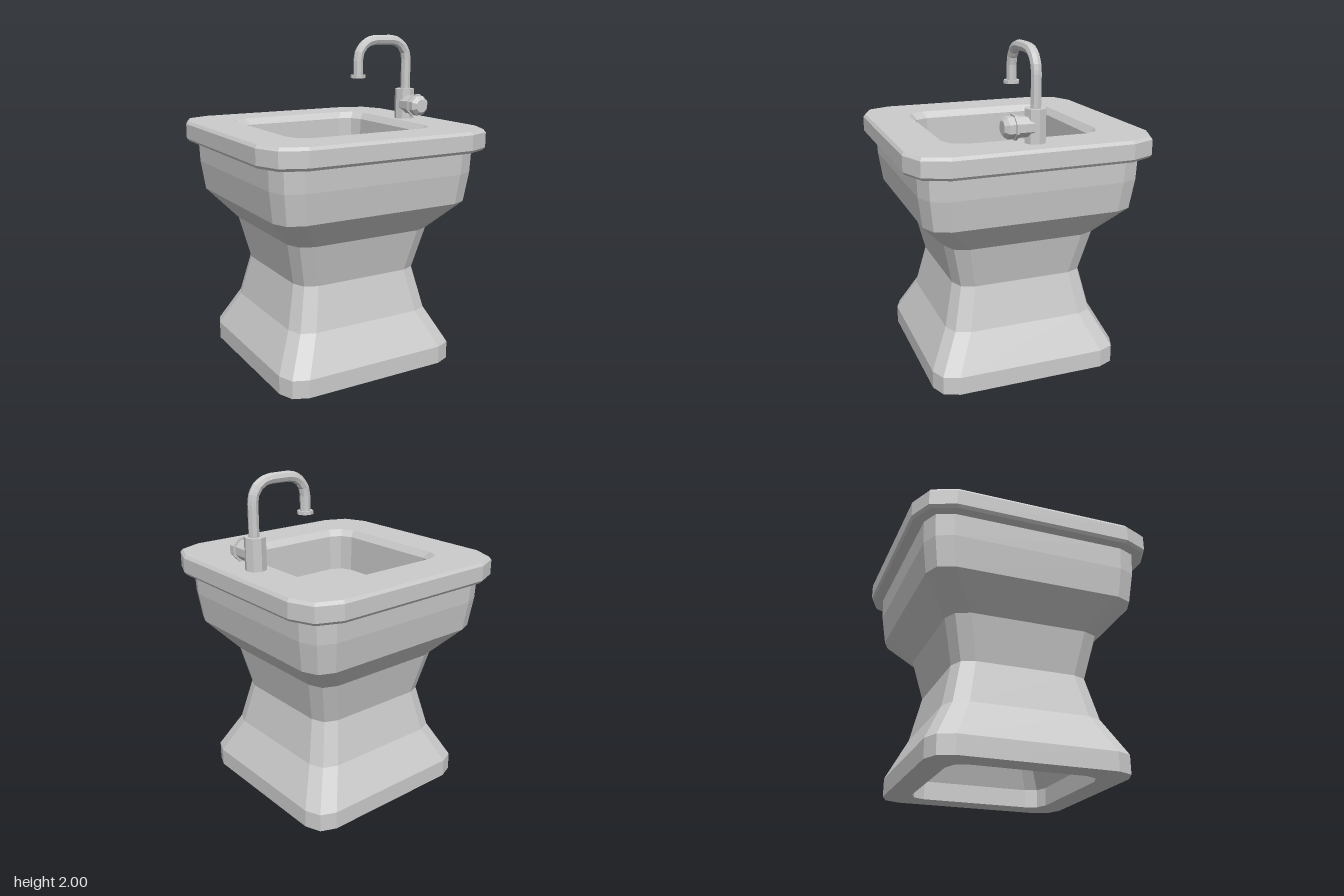
import * as THREE from 'three';

const material = new THREE.MeshStandardMaterial({ color: 0xcccccc, flatShading: true });

// Rounded square of half-width h and corner radius c, each corner cut in two facets
function ring([h, y, c]) {
  const points = [];
  for (let q = 0; q < 4; q++) {
    for (let k = 0; k < 3; k++) {
      const a = k * Math.PI / 4;
      const u = h - c + c * Math.cos(a), v = h - c + c * Math.sin(a);
      const t = q * Math.PI / 2;
      points.push([u * Math.cos(t) - v * Math.sin(t), y, -(u * Math.sin(t) + v * Math.cos(t))]);
    }
  }
  return points;
}

// Skin a series of rings [half-width, height, corner radius]
function loft(rows) {
  const rings = rows.map(ring), pos = [];
  for (let i = 0; i + 1 < rows.length; i++) {
    for (let j = 0; j < 12; j++) {
      const n = (j + 1) % 12;
      const a = rings[i][j], b = rings[i][n], c = rings[i + 1][n], d = rings[i + 1][j];
      if (rows[i][0] > 0) pos.push(...a, ...b, ...c);
      if (rows[i + 1][0] > 0) pos.push(...a, ...c, ...d);
    }
  }
  const g = new THREE.BufferGeometry();
  g.setAttribute('position', new THREE.Float32BufferAttribute(pos, 3));
  g.computeVertexNormals();
  return g;
}

// Eight-sided turned part from [radius, height] points
function turned(points) {
  return new THREE.LatheGeometry(points.map(([r, y]) => new THREE.Vector2(r, y)), 8);
}

export function createModel() {
  const group = new THREE.Group();
  const add = (name, geometry, x = 0, y = 0, z = 0) => {
    const mesh = new THREE.Mesh(geometry, material);
    mesh.name = name;
    mesh.position.set(x, y, z);
    group.add(mesh);
    return mesh;
  };

  // Hollow pedestal: inner shell from the top down, then outer shell up
  add('pedestal', loft([
    [0, 1.12, 0], [0.5, 1.12, 0.1], [0.48, 1.03, 0.1], [0.35, 0.85, 0.09],
    [0.3, 0.59, 0.08], [0.35, 0.33, 0.09], [0.435, 0.11, 0.1], [0.435, 0, 0.1],
    [0.585, 0, 0.13], [0.585, 0.11, 0.13], [0.47, 0.33, 0.12], [0.41, 0.59, 0.11],
    [0.47, 0.85, 0.12], [0.63, 1.03, 0.13], [0.655, 1.21, 0.14], [0.66, 1.35, 0.14],
  ]));

  // Rim slab with small bevels, continuing into the basin
  add('rimAndBasin', loft([
    [0.6, 1.345, 0.14], [0.722, 1.345, 0.2], [0.735, 1.362, 0.205], [0.735, 1.452, 0.205],
    [0.722, 1.47, 0.2], [0.472, 1.47, 0.115], [0.442, 1.43, 0.105], [0.44, 1.2, 0.1],
    [0, 1.2, 0],
  ]));

  add('drain', turned([[0.058, 0], [0.058, 0.01], [0, 0.01]]), 0.16, 1.2, 0);

  // Tap body and front valve
  const tapX = 0.565;
  add('tapBody', turned([[0.063, 0], [0.063, 0.19], [0, 0.19]]), tapX, 1.47, 0);
  const valve = add('valve', turned([
    [0.06, 0], [0.06, 0.118], [0.074, 0.118], [0.074, 0.132], [0.064, 0.132],
    [0.064, 0.17], [0.042, 0.192], [0, 0.192],
  ]), tapX, 1.563, 0);
  valve.rotation.set(Math.PI / 2, Math.PI / 8, 0);

  // Swan-neck spout with straight runs and two quarter bends
  const path = [[0.57, 1.64], [0.57, 1.85]];
  const bend = (cx, from) => {
    for (let k = 1; k <= 4; k++) {
      const a = from + k * Math.PI / 8;
      path.push([cx + 0.12 * Math.cos(a), 1.85 + 0.12 * Math.sin(a)]);
    }
  };
  bend(0.45, 0);
  path.push([0.33, 1.97]);
  bend(0.33, Math.PI / 2);
  path.push([0.21, 1.745]);
  const curve = new THREE.CurvePath();
  const vectors = path.map(([x, y]) => new THREE.Vector3(x, y, 0));
  for (let i = 0; i + 1 < vectors.length; i++) {
    curve.add(new THREE.LineCurve3(vectors[i], vectors[i + 1]));
  }
  add('spout', new THREE.TubeGeometry(curve, 48, 0.031, 8));
  add('spoutLip', new THREE.CylinderGeometry(0.048, 0.048, 0.02, 8), 0.21, 1.75, 0);

  return group;
}
